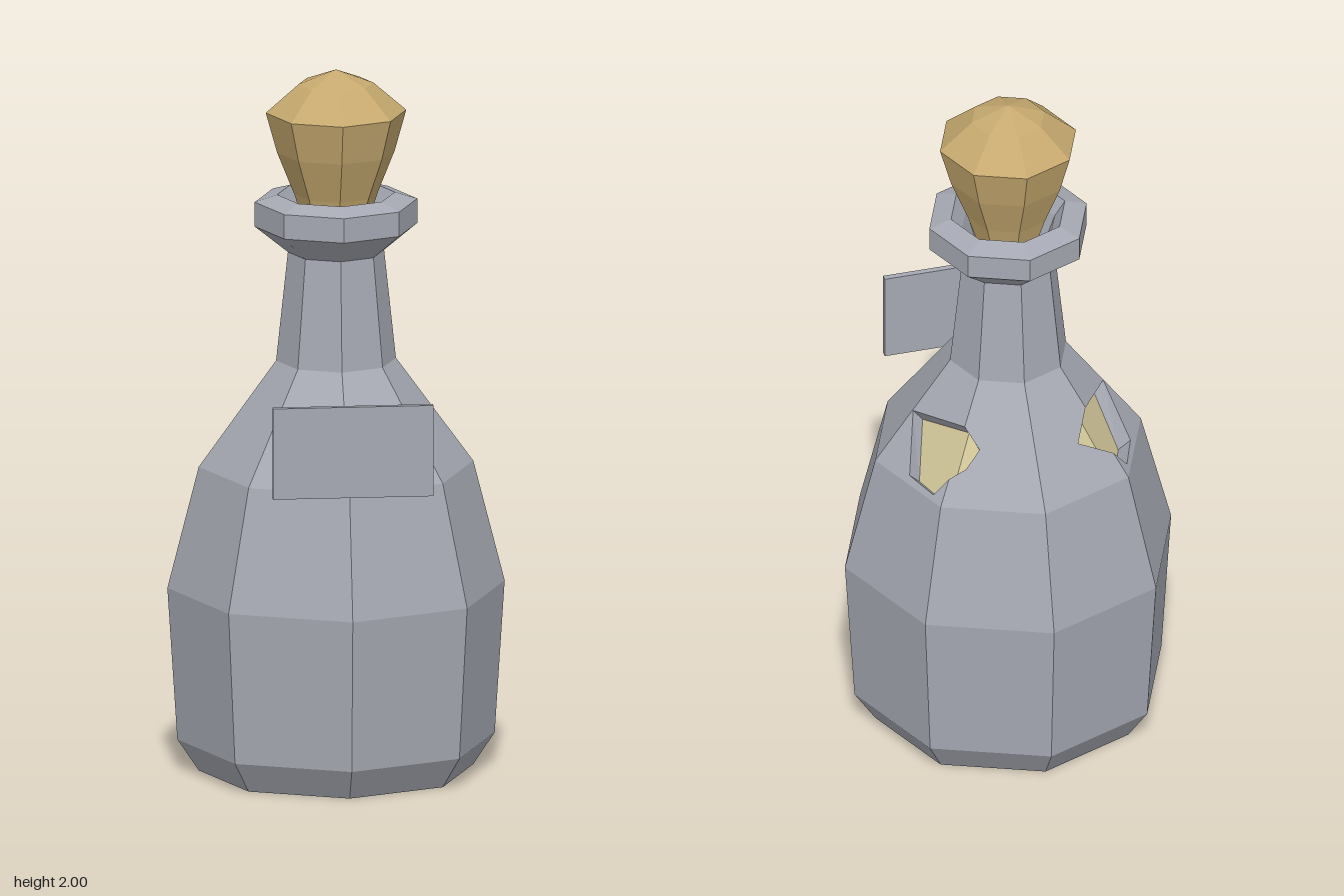
import * as THREE from 'three';

const SIDES = 8;
const CENTRE_Z = -0.007;
// Shoulder band: lower and upper ring
const LOW = { r: 0.385, y: 0.87 }, HIGH = { r: 0.168, y: 1.17 };

const glass = new THREE.MeshStandardMaterial({ color: 0xa6a9b3, flatShading: true, side: THREE.DoubleSide });
glass.name = 'grey glass';
const gold = new THREE.MeshStandardMaterial({ color: 0xc6a96f, flatShading: true });
gold.name = 'gold cork';
const cream = new THREE.MeshStandardMaterial({ color: 0xd0c598, flatShading: true });
cream.name = 'cream filling';

const vectors = (pts) => pts.map(([x, y]) => new THREE.Vector2(x, y));

function lathe(name, pts, material) {
  const mesh = new THREE.Mesh(new THREE.LatheGeometry(vectors(pts), SIDES), material);
  mesh.name = name;
  return mesh;
}

// Point on shoulder facet k: u runs along the ring, v runs upward
function onShoulder(k, u, v) {
  const r = THREE.MathUtils.lerp(LOW.r, HIGH.r, v);
  const a = (k * 2 * Math.PI) / SIDES, b = ((k + 1) * 2 * Math.PI) / SIDES;
  return new THREE.Vector3(
    r * THREE.MathUtils.lerp(Math.cos(a), Math.cos(b), u),
    THREE.MathUtils.lerp(LOW.y, HIGH.y, v),
    -r * THREE.MathUtils.lerp(Math.sin(a), Math.sin(b), u)
  );
}

// One flat shoulder facet, cut to an outline in (u, v)
function facet(k, outline) {
  const geo = new THREE.ShapeGeometry(new THREE.Shape(vectors(outline)));
  const pos = geo.attributes.position;
  for (let i = 0; i < pos.count; i++) {
    const p = onShoulder(k, pos.getX(i), pos.getY(i));
    pos.setXYZ(i, p.x, p.y, p.z);
  }
  geo.computeVertexNormals();
  const mesh = new THREE.Mesh(geo, glass);
  mesh.name = 'shoulderFacet';
  return mesh;
}

// Thickness of the broken edge, running inward from the hole outline
function holeWall(loop) {
  const verts = [], index = [], n = loop.length;
  loop.forEach((p, i) => {
    verts.push(p.x, p.y, p.z, p.x * 0.9, p.y - 0.035, p.z * 0.9);
    const a = 2 * i, b = 2 * ((i + 1) % n);
    index.push(a, b, a + 1, b, b + 1, a + 1);
  });
  const geo = new THREE.BufferGeometry();
  geo.setAttribute('position', new THREE.Float32BufferAttribute(verts, 3));
  geo.setIndex(index);
  geo.computeVertexNormals();
  const mesh = new THREE.Mesh(geo, glass);
  mesh.name = 'holeEdge';
  return mesh;
}

export function createModel() {
  const model = new THREE.Group();
  model.name = 'bottle';
  const vessel = new THREE.Group();
  vessel.name = 'vessel';
  vessel.position.z = CENTRE_Z;
  model.add(vessel);

  // Body below the shoulder
  vessel.add(lathe('body', [[0, 0], [0.385, 0], [0.445, 0.09], [0.473, 0.525], [LOW.r, LOW.y]], glass));

  // Neck, flared lip and open mouth
  vessel.add(lathe('neck', [
    [HIGH.r, HIGH.y], [0.135, 1.48], [0.228, 1.555], [0.228, 1.625],
    [0.165, 1.645], [0.135, 1.6], [0.1, 1.5], [0, 1.5],
  ], glass));

  // Shoulder with a hole on each side at the back
  const plain = [[0, 0], [1, 0], [1, 1], [0, 1]];
  const sideCut = [[0, 0], [1, 0], [1, 0.22], [0.86, 0.047], [0.47, 0.063], [0.01, 0.5], [1, 0.633], [1, 1], [0, 1]];
  const backCut = [[0, 0], [1, 0], [1, 1], [0, 1], [0, 0.633], [0.36, 0.4], [0, 0.22]];
  const mirror = (pts) => pts.map(([u, v]) => [1 - u, v]);
  const outlines = [sideCut, backCut, mirror(backCut), mirror(sideCut)];
  for (let k = 0; k < SIDES; k++) vessel.add(facet(k, outlines[k] || plain));

  const loop = [
    [0, 0.01, 0.5], [0, 1, 0.633], [1, 0.36, 0.4],
    [0, 1, 0.22], [0, 0.86, 0.047], [0, 0.47, 0.063],
  ].map((p) => onShoulder(...p));
  vessel.add(holeWall(loop));
  vessel.add(holeWall(loop.map((p) => new THREE.Vector3(-p.x, p.y, p.z))));

  // Filling seen through the holes
  vessel.add(lathe('filling', [
    [0, 0.08], [0.36, 0.08], [0.42, 0.5], [0.345, 0.835], [0.15, 1.135], [0, 1.135],
  ], cream));

  // Faceted stopper
  vessel.add(lathe('stopper', [
    [0, 1.56], [0.09, 1.56], [0.117, 1.645], [0.165, 1.765], [0.197, 1.88], [0.105, 1.96], [0, 2],
  ], gold));

  // Flat label plate at the front
  const label = new THREE.Mesh(new THREE.BoxGeometry(0.45, 0.26, 0.018), glass);
  label.name = 'label';
  label.position.set(0, 1.015, 0.469);
  model.add(label);

  return model;
}
